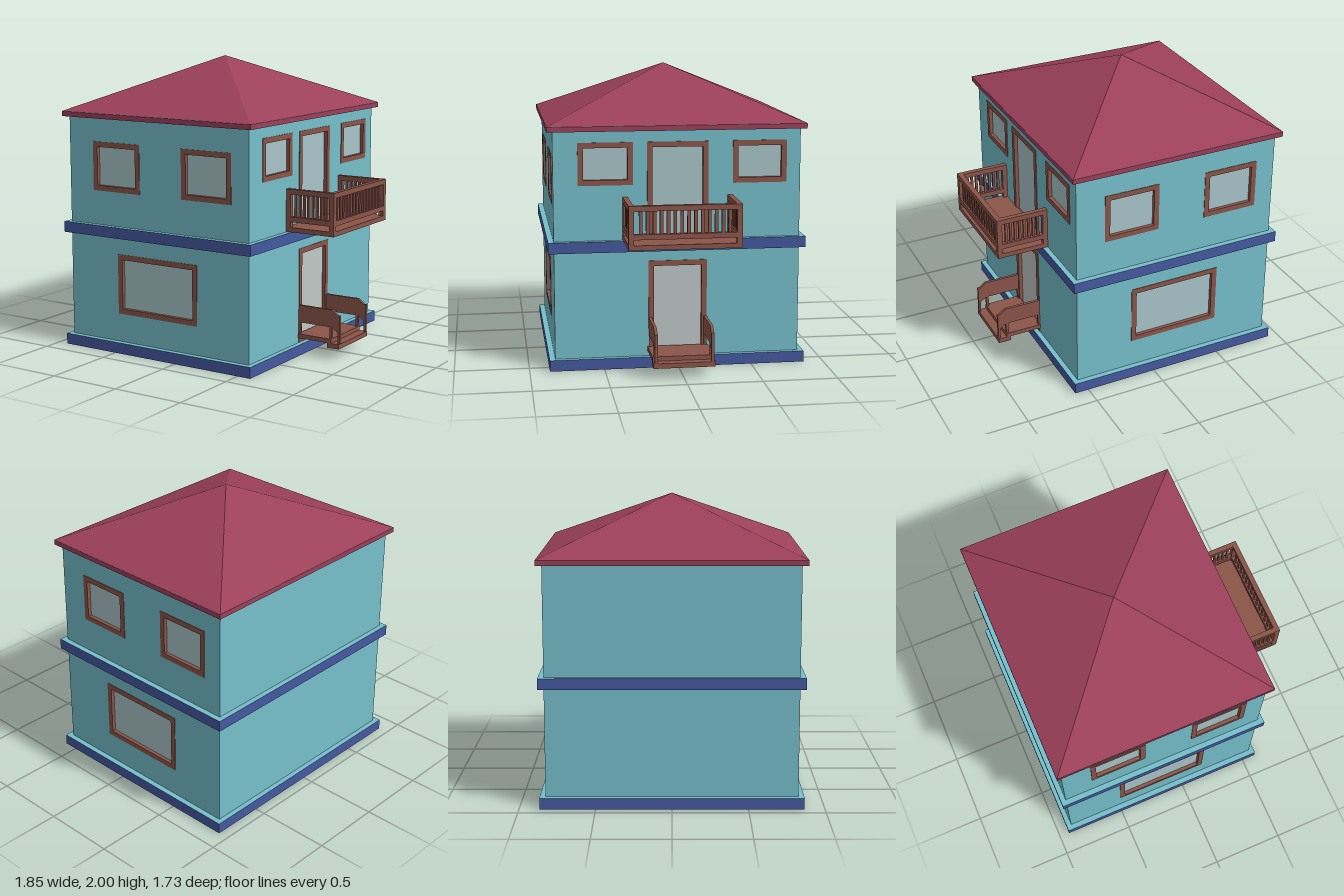
import * as THREE from 'three';

const mat = (color) => new THREE.MeshStandardMaterial({ color, side: THREE.DoubleSide, flatShading: true });

// House footprint (centre x, half sizes) and overhang of bands and eaves
const CX = -0.165, HX = 0.728, HZ = 0.828, T = 0.03, OUT = 0.035;

export function createModel() {
  const model = new THREE.Group();
  const cyan = mat(0x76bfcb), blue = mat(0x4459a0), red = mat(0x9c405a);
  const brown = mat(0x8b5549), glass = mat(0xa8c5c9), doorGlass = mat(0xc0c8c6);

  const add = (parent, name, geometry, material) => {
    const mesh = new THREE.Mesh(geometry, material);
    mesh.name = name;
    parent.add(mesh);
    return mesh;
  };
  const group = (name, parent = model) => {
    const g = new THREE.Group();
    g.name = name;
    parent.add(g);
    return g;
  };
  // Box given by its two extreme corners
  const box = (parent, name, x0, x1, y0, y1, z0, z1, material = brown) => {
    const m = add(parent, name, new THREE.BoxGeometry(x1 - x0, y1 - y0, z1 - z0), material);
    m.position.set((x0 + x1) / 2, (y0 + y1) / 2, (z0 + z1) / 2);
    return m;
  };
  const rect = (C, x0, x1, y0, y1) =>
    new C([[x0, y0], [x1, y0], [x1, y1], [x0, y1]].map(([x, y]) => new THREE.Vector2(x, y)));
  const extrude = (shape, depth) => new THREE.ExtrudeGeometry(shape, { depth, bevelEnabled: false });

  // Walls with framed openings; each opening is [left, right, bottom, top, glass]
  const wall = (name, half, distance, angle, openings) => {
    const g = group(name);
    g.position.x = CX;
    g.rotation.y = angle;
    const shape = rect(THREE.Shape, -half, half, 0.01, 1.62);
    for (const [a, b, c, d, pane = glass] of openings) {
      shape.holes.push(rect(THREE.Path, a, b, c, d));
      const w = 0.036;
      const frame = rect(THREE.Shape, a, b, c, d);
      frame.holes.push(rect(THREE.Path, a + w, b - w, c + w, d - w));
      add(g, 'openingFrame', extrude(frame, T + 0.006), brown).position.z = distance - T - 0.002;
      const z = distance - T + 0.003;
      box(g, 'glassPane', a + w, b - w, c + w, d - w, z, z + 0.006, pane);
    }
    add(g, 'wallPanel', extrude(shape, T), cyan).position.z = distance - T;
  };
  const windows = [
    [-0.525, -0.135, 1.11, 1.445],
    [0.205, 0.595, 1.11, 1.445],
    [-0.325, 0.325, 0.272, 0.685],
  ];
  wall('frontWall', HX, HZ, 0, windows);
  wall('backWall', HX, HZ, Math.PI, windows);
  wall('leftWall', HZ - T, HX, Math.PI / 2, [
    [-0.665, -0.3, 1.245, 1.53],
    [0.37, 0.735, 1.245, 1.53],
    [-0.205, 0.205, 0.86, 1.53],
    [-0.197, 0.197, 0.077, 0.73, doorGlass],
  ]);
  wall('rightWall', HZ - T, HX, -Math.PI / 2, []);

  // Rings around the house: base, floor band and eaves
  const ring = (name, y0, y1, side) => {
    const shape = rect(THREE.Shape, -HX - OUT, HX + OUT, -HZ - OUT - 0.003, HZ + OUT + 0.003);
    const inX = HX - T - 0.01, inZ = HZ - T - 0.01;
    shape.holes.push(rect(THREE.Path, -inX, inX, -inZ, inZ));
    const m = add(model, name, extrude(shape, y1 - y0), [cyan, side]);
    m.rotation.x = -Math.PI / 2;
    m.position.set(CX, y0, 0);
  };
  ring('baseBand', 0, 0.075, blue);
  ring('floorBand', 0.8, 0.875, blue);
  ring('eaves', 1.605, 1.639, red);

  // Hipped roof
  const roofGeometry = new THREE.ConeGeometry(Math.SQRT2, 0.36, 4, 1, true);
  roofGeometry.rotateY(Math.PI / 4);
  roofGeometry.scale(HX + OUT, 1, HZ + OUT + 0.003);
  add(model, 'roof', roofGeometry, red).position.set(CX, 1.82, 0);

  // Balcony: floor, posts, rails and balusters on three sides
  const balcony = group('balcony');
  const X0 = 0.56, X1 = 0.922, Z = 0.37, W = 0.035;
  box(balcony, 'balconyFloor', X0, X1, 0.877, 0.909, -Z, Z);
  const rails = [[0.945, 0.98], [1.13, 1.165]];
  for (const s of [-1, 1]) {
    const za = s > 0 ? Z - W : -Z, zb = za + W;
    box(balcony, 'wallPost', X0, X0 + W, 0.909, 1.165, za, zb);
    box(balcony, 'cornerPost', X1 - W, X1, 0.909, 1.165, za, zb);
    for (const [a, b] of rails) box(balcony, 'sideRail', X0 + W, X1 - W, a, b, za, zb);
    for (let i = 0; i < 8; i++) {
      const x = X0 + W + (X1 - X0 - 2 * W) * (i + 1) / 9;
      box(balcony, 'sideBaluster', x - 0.008, x + 0.008, 0.98, 1.13, za + 0.009, zb - 0.009);
    }
  }
  for (const [a, b] of rails) box(balcony, 'outerRail', X1 - W, X1, a, b, W - Z, Z - W);
  for (let i = 0; i < 14; i++) {
    const z = (Z - W) * (2 * (i + 1) / 15 - 1);
    box(balcony, 'outerBaluster', X1 - 0.026, X1 - 0.009, 0.98, 1.13, z - 0.011, z + 0.011);
  }

  // Entrance stoop: platform, step and a side panel on legs at each edge
  const stoop = group('entranceStoop');
  box(stoop, 'platform', 0.56, 0.82, 0.11, 0.14, -0.205, 0.205);
  box(stoop, 'step', 0.79, 0.88, 0.077, 0.11, -0.205, 0.205);
  const panel = new THREE.Shape([
    [0.56, 0.22], [0.82, 0.22], [0.865, 0.19], [0.88, 0.19], [0.88, 0.305], [0.865, 0.305], [0.82, 0.34], [0.56, 0.34],
  ].map(([x, y]) => new THREE.Vector2(x, y)));
  for (const z of [-0.197, 0.177]) {
    add(stoop, 'sidePanel', extrude(panel, 0.02), brown).position.z = z;
    for (const [a, b, bottom, top] of [[0.56, 0.576, 0.14, 0.22], [0.803, 0.82, 0.14, 0.22], [0.865, 0.88, 0.11, 0.19]])
      box(stoop, 'panelLeg', a, b, bottom, top, z, z + 0.02);
  }
  return model;
}
